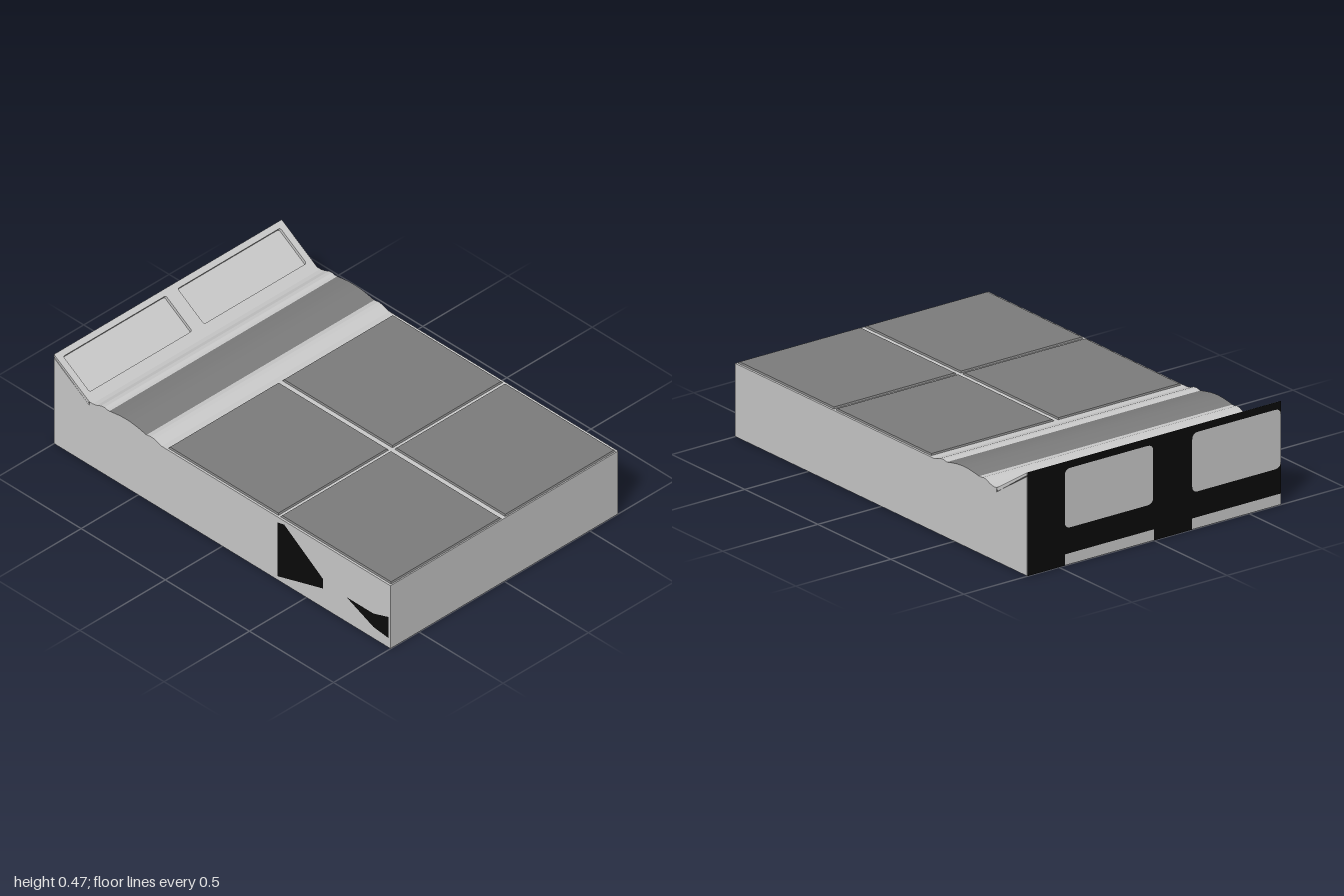
import * as THREE from 'three';

const HALF = 0.667;
const light = new THREE.MeshStandardMaterial({ color: 0xcacaca });
light.name = 'light grey';
const dark = new THREE.MeshStandardMaterial({ color: 0x7c7c7c });
dark.name = 'dark grey';
const black = new THREE.MeshStandardMaterial({ color: 0x0a0a0a });
black.name = 'black';

function add(group, name, geometry, material) {
  const mesh = new THREE.Mesh(geometry, material);
  mesh.name = name;
  group.add(mesh);
  return mesh;
}

const polygon = (points) => new THREE.Shape(points.map(([a, b]) => new THREE.Vector2(a, b)));

// Extrude a side profile of [z, y] points across the full width
function acrossWidth(points) {
  const shape = polygon(points.map(([z, y]) => [-z, y]));
  return new THREE.ExtrudeGeometry(shape, { depth: HALF * 2, bevelEnabled: false })
    .rotateY(Math.PI / 2).translate(-HALF, 0, 0);
}

// Rounded rectangle from (x0, y0) to (x1, y1)
function roundedRect(x0, y0, x1, y1, r, Type = THREE.Path) {
  const p = new Type();
  p.moveTo(x0 + r, y0);
  p.lineTo(x1 - r, y0);
  p.quadraticCurveTo(x1, y0, x1, y0 + r);
  p.lineTo(x1, y1 - r);
  p.quadraticCurveTo(x1, y1, x1 - r, y1);
  p.lineTo(x0 + r, y1);
  p.quadraticCurveTo(x0, y1, x0, y1 - r);
  p.lineTo(x0, y0 + r);
  p.quadraticCurveTo(x0, y0, x0 + r, y0);
  return p;
}

export function createModel() {
  const model = new THREE.Group();
  model.name = 'slopedCounter';

  // Main body with the small ridges behind the flat top
  add(model, 'body', acrossWidth([
    [1, 0], [1, 0.328], [-0.36, 0.328], [-0.38, 0.333], [-0.405, 0.342], [-0.425, 0.344],
    [-0.45, 0.339], [-0.67, 0.345], [-0.685, 0.345], [-0.70, 0.349], [-0.72, 0.346],
    [-0.745, 0.335], [-0.77, 0.33], [-0.79, 0.33], [-0.79, 0.312], [-1, 0.447], [-1, 0],
  ]), light);

  // Dark arched strip between the ridges
  const arch = [];
  for (let i = 0; i <= 12; i++) {
    const t = i / 12;
    arch.push([-0.45 - 0.22 * t, 0.339 + 0.006 * t + 0.014 * Math.sin(Math.PI * t)]);
  }
  add(model, 'archedStrip', acrossWidth(arch), [light, dark]);

  // Sloped rear face: a frame around two shallow recesses
  const tilt = Math.atan2(0.135, 0.21), length = Math.hypot(0.135, 0.21), depth = 0.015;
  const face = polygon([[-HALF, 0], [HALF, 0], [HALF, length], [-HALF, length]]);
  face.holes.push(roundedRect(-0.635, 0.036, -0.035, 0.222, 0.01));
  face.holes.push(roundedRect(0.035, 0.036, 0.635, 0.222, 0.01));
  const frame = new THREE.ExtrudeGeometry(face, { depth, bevelEnabled: false, curveSegments: 4 })
    .translate(0, 0, -depth).rotateX(tilt - Math.PI / 2).translate(0, 0.33, -0.79);
  const pos = frame.attributes.position;
  for (let i = 0; i < pos.count; i++) pos.setZ(i, Math.max(pos.getZ(i), -1));
  add(model, 'slopedFrame', frame, light);

  // Four top panels with narrowed upper edges
  for (const side of [-1, 1]) {
    for (const [z0, z1] of [[-0.33, 0.324], [0.337, 0.994]]) {
      const geometry = new THREE.BoxGeometry(0.646, 0.007, z1 - z0);
      const p = geometry.attributes.position;
      for (let i = 0; i < p.count; i++) {
        if (p.getY(i) < 0) continue;
        p.setX(i, p.getX(i) - Math.sign(p.getX(i)) * 0.005);
        p.setZ(i, p.getZ(i) - Math.sign(p.getZ(i)) * 0.005);
      }
      geometry.computeVertexNormals();
      add(model, 'topPanel', geometry, dark).position.set(side * 0.334, 0.3312, (z0 + z1) / 2);
    }
  }

  // Black markings on the back, with light windows left open (shape x is -x)
  const back = polygon([[-HALF, 0.05], [HALF, 0.05], [HALF, 0.465], [-HALF, 0.465]]);
  back.holes.push(roundedRect(-0.47, 0.165, -0.005, 0.432, 0.03));
  back.holes.push(roundedRect(0.2, 0.165, 0.6665, 0.432, 0.03));
  add(model, 'backMarking', new THREE.ShapeGeometry(back, 4).rotateY(Math.PI).translate(0, 0, -1.001), black);
  const post = new THREE.PlaneGeometry(0.2, 0.05).rotateY(Math.PI);
  add(model, 'backPost', post, black).position.set(-0.1, 0.025, -1.001);
  const corner = new THREE.PlaneGeometry(0.197, 0.05).rotateY(Math.PI);
  add(model, 'backCorner', corner, black).position.set(0.5685, 0.025, -1.001);

  // Black markings underneath, towards the back
  const under = polygon([[-HALF, -1], [HALF, -1], [HALF, -0.36], [-HALF, -0.36]]);
  under.holes.push(roundedRect(0.005, -0.93, 0.47, -0.46, 0.05));
  under.holes.push(roundedRect(-0.6665, -0.93, -0.2, -0.46, 0.05));
  add(model, 'underMarking', new THREE.ShapeGeometry(under, 4).rotateX(Math.PI / 2).translate(0, -0.001, 0), black);

  // Angular black markings on the right side (shape x is z)
  for (const points of [
    [[0.33, 0.02], [0.6, 0.1], [0.6, 0.15], [0.37, 0.31], [0.33, 0.3]],
    [[0.74, 0.13], [0.9, 0.06], [0.99, 0.05], [0.99, 0.16], [0.9, 0.13]],
  ]) {
    const geometry = new THREE.ShapeGeometry(polygon(points)).rotateY(-Math.PI / 2);
    add(model, 'sideMarking', geometry.translate(-HALF - 0.001, 0, 0), black);
  }
  return model;
}
